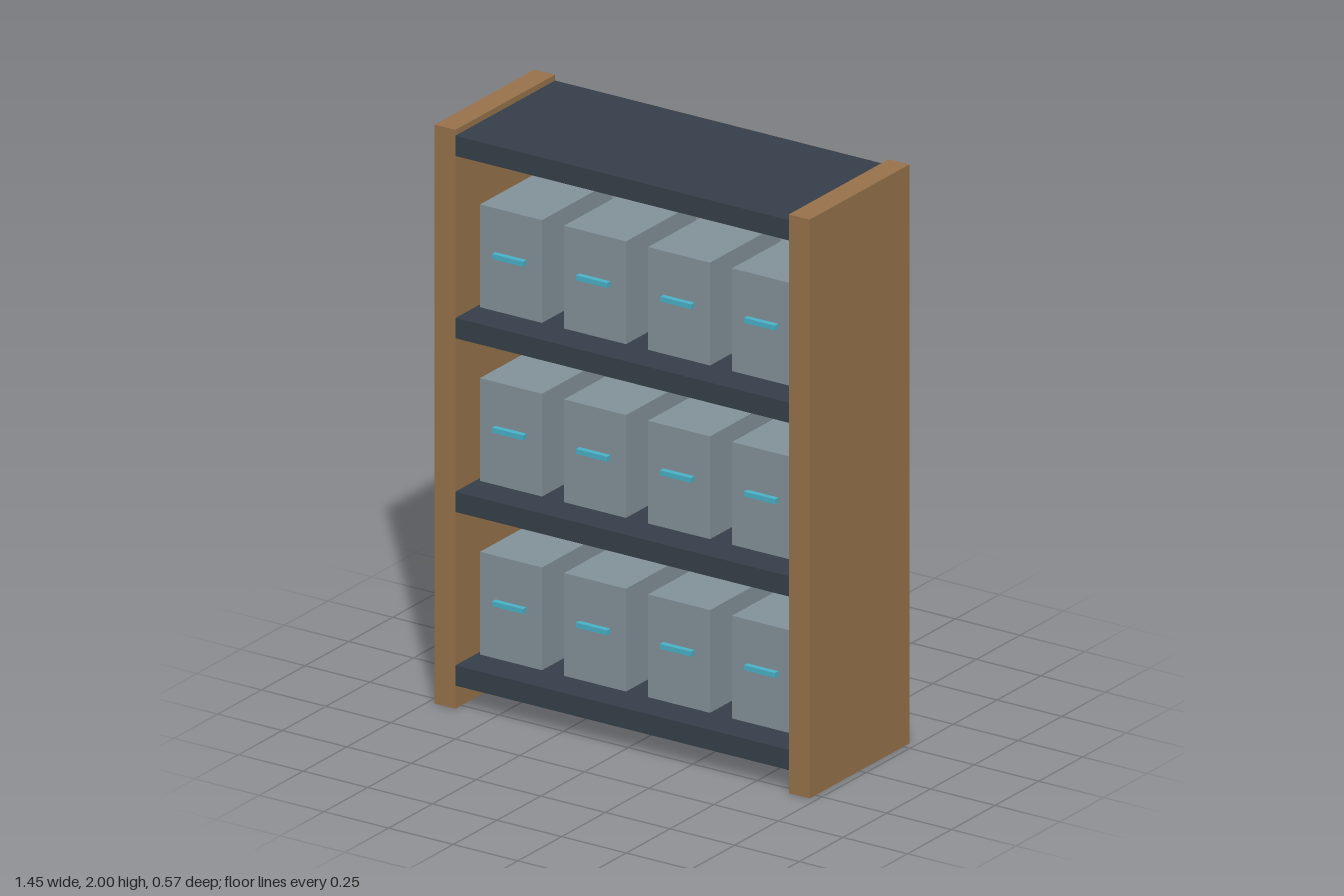
import * as THREE from 'three';

export function createModel() {
  const group = new THREE.Group();
  const wood = new THREE.MeshStandardMaterial({ color: 0x99744c });
  const dark = new THREE.MeshStandardMaterial({ color: 0x36404a });
  const grey = new THREE.MeshStandardMaterial({ color: 0x84939b });
  const teal = new THREE.MeshStandardMaterial({ color: 0x4ab3c9 });

  const addBox = (parent, name, [w, h, d], [x, y, z], material) => {
    const mesh = new THREE.Mesh(new THREE.BoxGeometry(w, h, d), material);
    mesh.name = name;
    mesh.position.set(x, y, z);
    parent.add(mesh);
  };

  // Upright side panels
  addBox(group, 'leftPanel', [0.08, 2, 0.57], [0.685, 1, 0], wood);
  addBox(group, 'rightPanel', [0.08, 2, 0.57], [-0.685, 1, 0], wood);

  // Top board and three shelves, each shelf carrying four storage bins
  addBox(group, 'topBoard', [1.29, 0.07, 0.57], [0, 1.945, 0], dark);
  for (let row = 0; row < 3; row++) {
    const y = 0.115 + row * 0.6;
    addBox(group, 'shelf', [1.29, 0.07, 0.57], [0, y, 0], dark);

    for (let col = 0; col < 4; col++) {
      const bin = new THREE.Group();
      bin.name = 'storageBin';
      bin.position.set((col - 1.5) * 0.325, y + 0.23, 0);
      addBox(bin, 'binBody', [0.24, 0.355, 0.4], [0, 0, 0], grey);
      addBox(bin, 'binHandle', [0.12, 0.017, 0.03], [0, 0.018, 0.205], teal);
      group.add(bin);
    }
  }
  return group;
}
